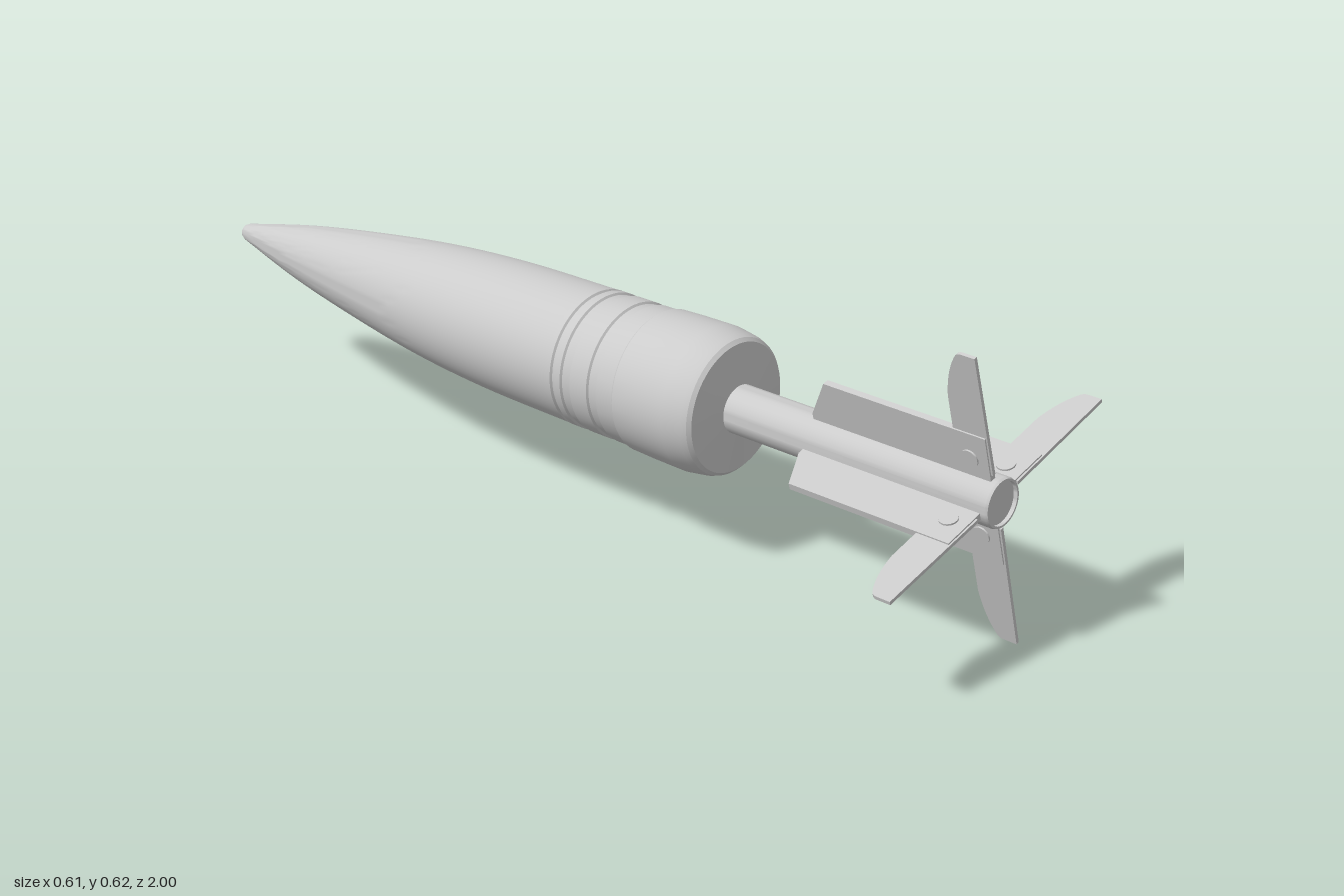
import * as THREE from 'three';
import { toCreasedNormals } from 'three/addons/utils/BufferGeometryUtils.js';

const material = new THREE.MeshStandardMaterial({ color: 0xcccccc });

function part(name, geometry) {
  const mesh = new THREE.Mesh(geometry, material);
  mesh.name = name;
  return mesh;
}

// Turned part along z, from [radius, z] pairs running from nose to tail
function turned(name, profile, segments) {
  const points = profile.map(([r, z]) => new THREE.Vector2(r, z));
  const geometry = new THREE.LatheGeometry(points, segments).rotateX(Math.PI / 2);
  return part(name, toCreasedNormals(geometry, 0.4));
}

// Flat plate: shape x is the distance from the axis, shape y runs along z
function plate(name, shape, thickness) {
  const geometry = new THREE.ExtrudeGeometry(shape, { depth: thickness, bevelEnabled: false, curveSegments: 10 });
  geometry.translate(0, 0, -thickness / 2).rotateX(Math.PI / 2);
  return part(name, toCreasedNormals(geometry, 0.5));
}

// Shallow ring groove between two stations
function groove(r, z0, z1) {
  return [[r, z0], [r - 0.004, z0 + 0.003], [r - 0.004, z1 - 0.003], [r, z1]];
}

function finShape() {
  const s = new THREE.Shape();
  s.moveTo(0.04, 0.59);
  s.lineTo(0.06, 0.59);
  s.lineTo(0.14, 0.63);
  s.lineTo(0.14, 0.985);
  s.lineTo(0.04, 0.985);
  return s;
}

function bladeShape(tip) {
  const s = new THREE.Shape();
  s.moveTo(0.06, 0.915);
  s.lineTo(tip - 0.1, 0.915);
  s.quadraticCurveTo(tip - 0.04, 0.922, tip - 0.005, 0.945);
  s.quadraticCurveTo(tip, 0.95, tip, 0.957);
  s.lineTo(tip, 0.986);
  s.lineTo(0.06, 0.989);
  return s;
}

export function createModel() {
  const model = new THREE.Group();
  model.name = 'finnedProjectile';
  const axis = new THREE.Group();
  axis.name = 'assembly';
  axis.position.set(-0.01, 0.319, 0);
  model.add(axis);

  // Ogive nose flowing into the cylindrical body
  const ogive = new THREE.SplineCurve([
    [0.019, -0.985], [0.06, -0.8], [0.093, -0.6], [0.119, -0.4], [0.133, -0.2], [0.137, 0], [0.137, 0.037],
  ].map(([r, z]) => new THREE.Vector2(r, z))).getPoints(36).map((p) => [p.x, p.y]);

  axis.add(turned('body', [
    [0, -1], [0.009, -0.999], [0.015, -0.994],
    ...ogive,
    ...groove(0.138, 0.04, 0.05),
    ...groove(0.138, 0.066, 0.092),
    ...groove(0.138, 0.135, 0.16),
    [0.138, 0.2], [0.142, 0.205],
    [0.144, 0.26], [0.145, 0.33], [0.139, 0.372], [0.135, 0.384], [0.128, 0.391],
    [0.045, 0.4],
  ], 72));

  // Tail tube with a shallow recessed end
  axis.add(turned('tailTube', [
    [0.048, 0.39], [0.048, 0.995], [0.046, 1], [0.042, 1], [0.042, 0.992], [0, 0.992],
  ], 40));

  // Four fins, each carrying a hinged blade and its pivot
  [0.326, 0.31, 0.31, 0.329].forEach((tip, i) => {
    const fin = new THREE.Group();
    fin.name = 'fin' + (i + 1);
    fin.rotation.z = THREE.MathUtils.degToRad(16.3 + i * 90);
    fin.add(plate('finPlate', finShape(), 0.013));
    fin.add(plate('finBlade', bladeShape(tip), 0.007));
    const pivot = part('pivot', toCreasedNormals(new THREE.CylinderGeometry(0.018, 0.018, 0.02, 24), 0.5));
    pivot.position.set(0.086, 0, 0.946);
    fin.add(pivot);
    axis.add(fin);
  });

  return model;
}
